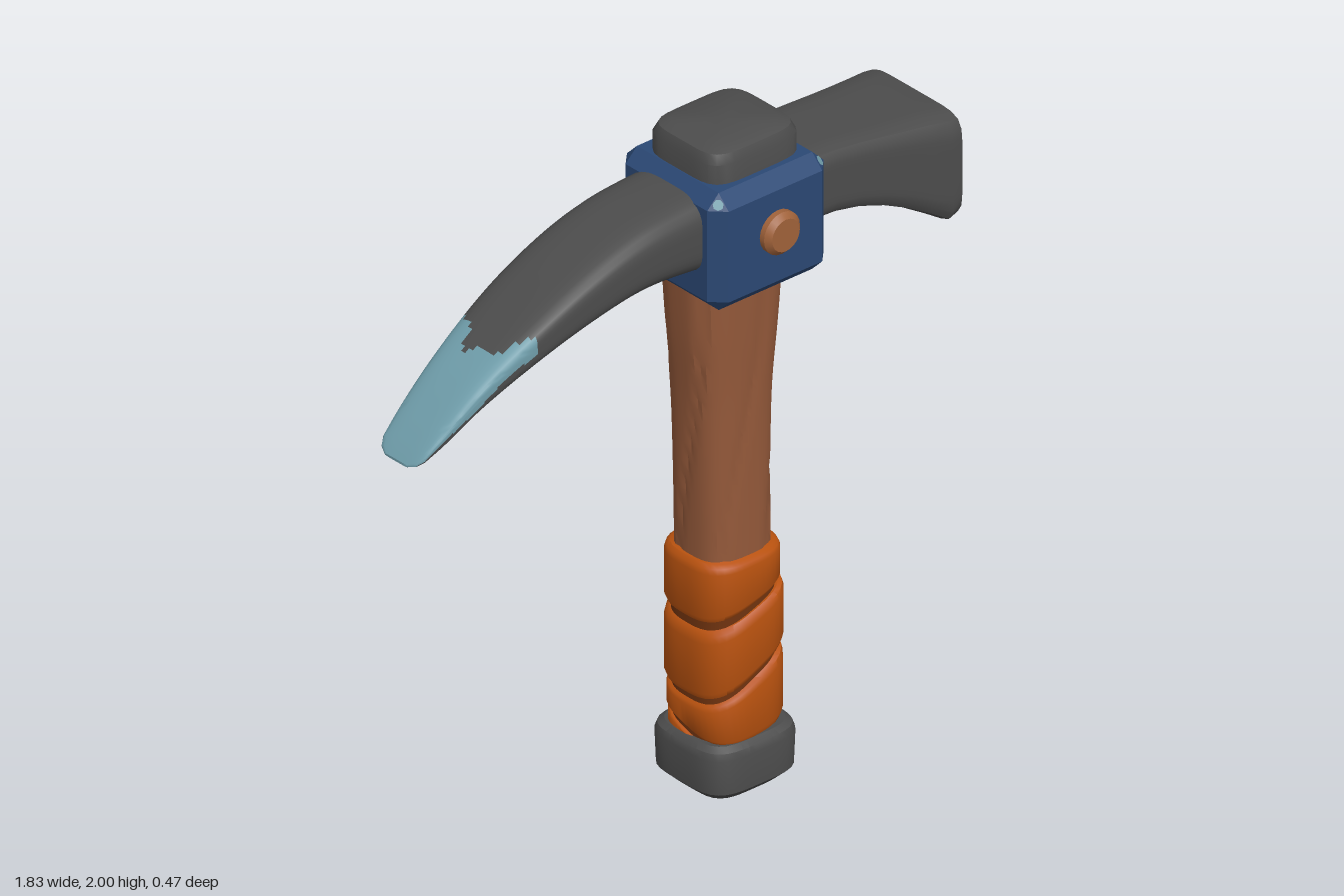
import * as THREE from 'three';
import { toCreasedNormals } from 'three/addons/utils/BufferGeometryUtils.js';
import { ConvexGeometry } from 'three/addons/geometries/ConvexGeometry.js';

const material = (name, color) => Object.assign(new THREE.MeshStandardMaterial({ color }), { name });

// Rounded-rectangle outline; a higher power gives squarer corners
function outline(a, b, power, count = 48) {
  return Array.from({ length: count }, (_, i) => {
    const t = (i / count) * Math.PI * 2, c = Math.cos(t), s = Math.sin(t);
    const k = (Math.abs(c) ** power + Math.abs(s) ** power) ** (-1 / power);
    return [a * k * c, b * k * s, t];
  });
}

// Skin a list of closed rings and cap both ends; paint picks a material index per quad
function loft(rings, crease = 0.6, paint = () => 0) {
  const n = rings[0].length, points = rings.flat(), faces = [[], []];
  rings.slice(1).forEach((_, r) => {
    for (let i = 0; i < n; i++) {
      const a = r * n + i, b = r * n + (i + 1) % n, c = a + n, d = b + n;
      const mid = points[a].clone().add(points[d]).multiplyScalar(0.5);
      faces[paint(mid, ((i + 0.5) / n) * Math.PI * 2)].push([a, b, d], [a, d, c]);
    }
  });
  [0, rings.length - 1].forEach((r) => {
    const centre = rings[r].reduce((s, p) => s.add(p), new THREE.Vector3()).divideScalar(n);
    const hub = points.push(centre) - 1, m = paint(centre, 0);
    for (let i = 0; i < n; i++) {
      const a = r * n + i, b = r * n + (i + 1) % n;
      faces[m].push(r ? [a, b, hub] : [b, a, hub]);
    }
  });
  // Turn the faces outward
  const volume = faces.flat().reduce((v, [a, b, c]) =>
    v + points[a].dot(points[b].clone().cross(points[c])), 0);
  if (volume < 0) faces.flat().forEach((f) => f.reverse());
  const geometry = new THREE.BufferGeometry().setFromPoints(points);
  geometry.setIndex(faces.flat(2));
  geometry.addGroup(0, faces[0].length * 3, 0);
  if (faces[1].length) geometry.addGroup(faces[0].length * 3, faces[1].length * 3, 1);
  return toCreasedNormals(geometry, crease);
}

// Rows of numbers, first column rising, resampled along a smooth curve
function smoothRows(rows, count) {
  const width = rows[0].length - 1, first = rows[0][0], last = rows[rows.length - 1][0];
  const curve = new THREE.CubicInterpolant(rows.map((r) => r[0]), rows.flatMap((r) => r.slice(1)), width);
  return Array.from({ length: count + 1 }, (_, i) => {
    const t = first + ((last - first) * i) / count;
    return [t, ...curve.evaluate(t)];
  });
}

// Rings stacked upward from rows of [y, centre x, half x, half z]
const upright = (rows, power) => rows.map(([y, cx, a, b]) =>
  outline(a, b, power).map(([u, v]) => new THREE.Vector3(cx + u, y, v)));

// Rings along x from rows of [x, top, bottom, half z]
const sideways = (rows, power) => rows.map(([x, top, bottom, w]) =>
  outline(w, (top - bottom) / 2, power).map(([u, v]) => new THREE.Vector3(x, (top + bottom) / 2 + v, u)));

export function createModel() {
  const group = new THREE.Group();
  const iron = material('dark iron', 0x4c4c4c);
  const blue = material('blue steel', 0x2b4874);
  const wood = material('wood', 0x94593a);
  const copper = material('copper', 0xa0623a);
  const leather = material('orange leather', 0xb9520f);
  const seam = material('leather seam', 0x70330f);
  const edge = material('pale worn steel', 0x6f9daa);
  const add = (name, geometry, mat) => {
    const mesh = new THREE.Mesh(geometry, mat);
    mesh.name = name;
    group.add(mesh);
    return mesh;
  };

  // Handle, flaring at the top, with twisting carved grain
  const handleRows = smoothRows([
    [0.1, 0.225, 0.115, 0.108], [0.72, 0.224, 0.117, 0.109], [1.0, 0.221, 0.12, 0.109],
    [1.2, 0.22, 0.127, 0.111], [1.4, 0.221, 0.146, 0.118], [1.6, 0.222, 0.16, 0.124],
  ], 50);
  const handle = handleRows.map(([y, cx, a, b]) => outline(a, b, 3).map(([u, v, t]) => {
    const groove = Math.max(0, Math.sin(5 * t + 5 * y + 0.8 * Math.sin(6 * y))) ** 10;
    const k = 1 - 0.05 * groove;
    return new THREE.Vector3(cx + u * k, y, v * k);
  }));
  add('handle', loft(handle, 0.5), wood);

  // Grip: slanted bands over a darker core
  add('gripCore', loft(upright([[0.12, 0.23, 0.125, 0.12], [0.7, 0.225, 0.125, 0.12]], 3)), seam);
  const slant = (y, sx = 0, sz = 0) => (x, z) => y + sx * x + sz * z;
  const bands = [
    [slant(0.14), slant(0.195, 0.08, -0.3), 0.232, 0.136, 0.13],
    [slant(0.208, 0.08, -0.3), slant(0.35, 0.48), 0.232, 0.139, 0.134],
    [slant(0.365, 0.48), slant(0.56, 0.36), 0.229, 0.142, 0.139],
    [slant(0.576, 0.3), slant(0.722), 0.223, 0.138, 0.134],
  ];
  bands.forEach(([low, high, cx, a, b]) => {
    const steps = [[0, -0.018], [0.05, -0.006], [0.14, 0], [0.86, 0], [0.95, -0.004], [1, -0.014]];
    const rings = steps.map(([t, inset]) => outline(a + inset, b + inset, 3).map(([u, v]) =>
      new THREE.Vector3(cx + u, low(u, v) + (high(u, v) - low(u, v)) * t, v)));
    add('gripBand', loft(rings, 0.7), leather);
  });

  // Pommel and top cap
  add('pommel', loft(upright([
    [0, 0.233, 0.05, 0.045], [0.012, 0.233, 0.125, 0.118], [0.042, 0.233, 0.156, 0.149],
    [0.145, 0.233, 0.16, 0.152], [0.165, 0.233, 0.154, 0.146], [0.178, 0.233, 0.138, 0.13],
  ], 4)), iron);
  add('topCap', loft(upright([
    [1.85, 0.232, 0.16, 0.147], [1.962, 0.232, 0.16, 0.147],
    [1.988, 0.232, 0.148, 0.135], [2, 0.232, 0.12, 0.108],
  ], 5)), iron);

  // Chamfered head block
  const half = [0.203, 0.178, 0.203], cut = 0.04, centre = new THREE.Vector3(0.232, 1.727, 0);
  const corners = [];
  for (const sx of [-1, 1]) for (const sy of [-1, 1]) for (const sz of [-1, 1]) {
    for (let axis = 0; axis < 3; axis++) {
      const p = half.map((h, i) => (i === axis ? h : h - cut));
      corners.push(new THREE.Vector3(p[0] * sx, p[1] * sy, p[2] * sz));
    }
  }
  add('headBlock', new ConvexGeometry(corners), blue).position.copy(centre);

  // Worn spots on the block's upper front corners
  for (const side of [-1, 1]) {
    const normal = new THREE.Vector3(side, 1, 1).normalize();
    const spot = add('wornCorner', new THREE.CircleGeometry(0.015, 7), edge);
    const inset = (cut * 2) / 3;
    spot.position.set((half[0] - inset) * side, half[1] - inset, half[2] - inset)
      .add(centre).addScaledVector(normal, 0.002);
    spot.quaternion.setFromUnitVectors(new THREE.Vector3(0, 0, 1), normal);
  }

  // Rivet through the block
  const rivet = [[-0.236, 0.048], [-0.22, 0.063], [0.22, 0.063], [0.236, 0.048]].map(([z, r]) =>
    outline(r, r, 2, 20).map(([u, v]) => new THREE.Vector3(0.24 + u, 1.742 + v, z)));
  add('rivet', loft(rivet), copper);

  // Curved pick blade, thinning to a rounded chisel tip with a worn upper face
  const pickRows = smoothRows([
    [-0.1, 1.878, 1.64, 0.145], [0, 1.873, 1.656, 0.145], [0.15, 1.855, 1.665, 0.145],
    [0.3, 1.81, 1.645, 0.143], [0.5, 1.717, 1.592, 0.133], [0.7, 1.592, 1.508, 0.11],
    [0.83, 1.485, 1.437, 0.094], [0.885, 1.433, 1.411, 0.084],
  ], 70).concat([[0.903, 1.414, 1.401, 0.07], [0.914, 1.402, 1.395, 0.045]])
    .map(([s, ...rest]) => [-s, ...rest]);
  const worn = (p, angle) => {
    const start = -0.645 + 0.11 * (p.z / 0.13) ** 2 + 0.015 * Math.sin(p.z * 70);
    const lowLimit = -0.12 + 0.12 * Math.sin(p.x * 28);
    return p.x < -0.895 || (p.x < start && Math.sin(angle) > lowLimit) ? 1 : 0;
  };
  add('pickBlade', loft(sideways(pickRows, 4), 0.6, worn), [iron, edge]);

  // Flared hammer end
  add('hammerEnd', loft(sideways([
    [0.36, 1.872, 1.667, 0.145], [0.5, 1.866, 1.662, 0.148], [0.58, 1.86, 1.648, 0.153],
    [0.66, 1.852, 1.622, 0.161], [0.74, 1.845, 1.585, 0.17], [0.81, 1.84, 1.543, 0.179],
    [0.865, 1.835, 1.508, 0.189], [0.897, 1.83, 1.52, 0.188], [0.911, 1.812, 1.545, 0.168],
  ], 7), 0.5), iron);

  return group;
}
